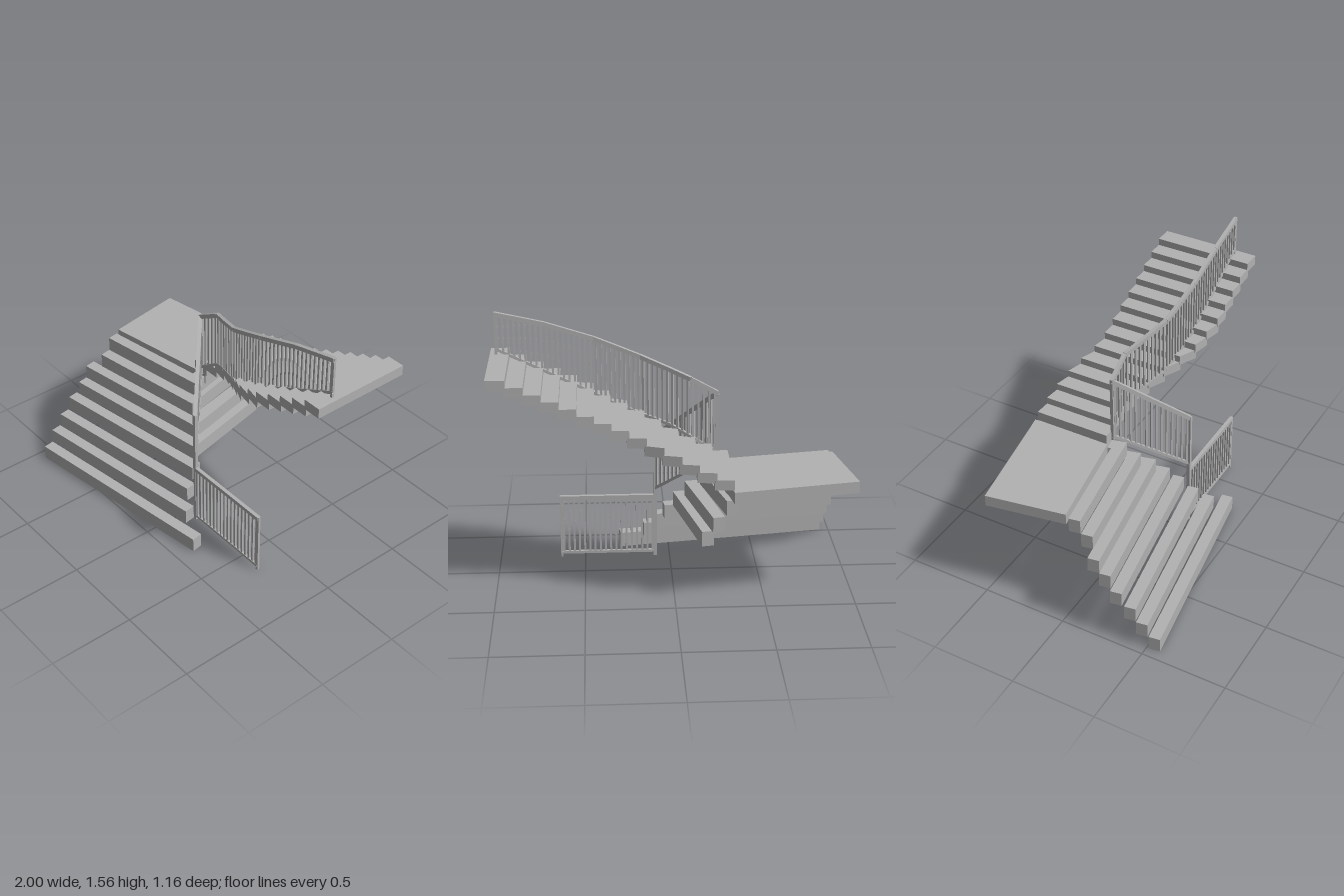
import * as THREE from 'three';

const concrete = new THREE.MeshStandardMaterial({ color: 0xb2b2b2 });
concrete.name = 'grey';

// Flat slab: outline of [x, z] points, from y0 up to y1
function slab(name, outline, y0, y1) {
  const shape = new THREE.Shape(outline.map(([x, z]) => new THREE.Vector2(x, -z)));
  const geo = new THREE.ExtrudeGeometry(shape, { depth: y1 - y0, bevelEnabled: false });
  geo.rotateX(-Math.PI / 2);
  const mesh = new THREE.Mesh(geo, concrete);
  mesh.position.y = y0;
  mesh.name = name;
  return mesh;
}

// Bar with a rectangular section between two points
function bar(name, a, b, w, h) {
  const mesh = new THREE.Mesh(new THREE.BoxGeometry(w, h, a.distanceTo(b)), concrete);
  mesh.position.copy(a).add(b).multiplyScalar(0.5);
  mesh.lookAt(b);
  mesh.name = name;
  return mesh;
}

// Upright with its faces turned along the railing
function upright(name, x, z, y0, y1, size, angle) {
  const mesh = new THREE.Mesh(new THREE.BoxGeometry(size, y1 - y0, size), concrete);
  mesh.position.set(x, (y0 + y1) / 2, z);
  mesh.rotation.y = angle;
  mesh.name = name;
  return mesh;
}

// Railing through stations [x, z, bottomY, topY]
function railing(name, stations, pitch = 0.031) {
  const group = new THREE.Group();
  group.name = name;
  for (let i = 0; i < stations.length - 1; i++) {
    const [x0, z0, b0, t0] = stations[i];
    const [x1, z1, b1, t1] = stations[i + 1];
    const v = (x, y, z) => new THREE.Vector3(x, y, z);
    group.add(bar('handrail', v(x0, t0 - 0.012, z0), v(x1, t1 - 0.012, z1), 0.022, 0.024));
    group.add(bar('bottomRail', v(x0, b0 + 0.008, z0), v(x1, b1 + 0.008, z1), 0.016, 0.016));
    const n = Math.max(1, Math.round(Math.hypot(x1 - x0, z1 - z0) / pitch));
    const angle = Math.atan2(-(z1 - z0), x1 - x0);
    for (let k = 0; k < n; k++) {
      const t = (k + 0.5) / n, mix = (p, q) => p + (q - p) * t;
      group.add(upright('baluster', mix(x0, x1), mix(z0, z1),
        mix(b0, b1) + 0.006, mix(t0, t1) - 0.012, 0.012, angle));
    }
  }
  return group;
}

export function createModel() {
  const model = new THREE.Group();
  model.name = 'staircase';

  // Lower flight: [leftX, leftZ, rightX, slope, return end x, return end z]
  const lower = new THREE.Group();
  lower.name = 'lowerFlight';
  const depth = 0.065, rise = 0.087;
  [
    [-0.938, 0.577, 0.296, 0.148],
    [-0.95, 0.507, 0.158, 0.153],
    [-0.953, 0.437, 0.087, 0.16],
    [-0.965, 0.359, 0.042, 0.162],
    [-0.955, 0.287, -0.016, 0.163, -0.146, -0.45],
    [-0.962, 0.223, -0.08, 0.165, -0.205, -0.462],
    [-0.898, 0.148, -0.166, 0.165, -0.28, -0.437],
    [-0.908, 0.08, -0.214, 0.165, -0.33, -0.49],
  ].forEach(([xl, zl, xr, s, xe, ze], i) => {
    const zr = zl - (xr - xl) * s;
    const back = ([x, z]) => [x - depth * s, z - depth];
    const outline = [[xl, zl], [xr, zr]];
    if (xe === undefined) outline.push(back([xr, zr]));
    else {
      // narrow side return running back beneath the upper flight
      const inner = xr - depth * 1.2;
      outline.push([xe, ze], [xe - depth, ze + 0.012], back([inner, zr + (xr - inner) * s]));
    }
    outline.push(back([xl, zl]));
    lower.add(slab('lowerStep', outline, i * rise, (i + 1) * rise));
  });
  model.add(lower);

  // Landing
  model.add(slab('landing', [[-1, -0.457], [-0.92, 0], [-0.23, -0.121], [-0.31, -0.58]], 0.65, 0.717));

  // Upper flight, curving into a straight run
  const upper = new THREE.Group();
  upper.name = 'upperFlight';
  const backZ = [-0.56, -0.555, -0.545, -0.523, -0.495, -0.457];
  const frontZ = [-0.11, -0.11, -0.11, -0.09, -0.05, 0, 0.05, 0.1, 0.122];
  const going = 0.0927;
  for (let i = 0; i < 14; i++) {
    const x0 = -0.31 + i * going, x1 = Math.min(x0 + 0.105, 1);
    const top = 0.78 + i * 0.0415;
    const b = (k) => backZ[k] ?? -0.443, f = (k) => frontZ[k] ?? 0.145;
    upper.add(slab('upperStep', [[x0, b(i)], [x0, f(i)], [x1, f(i + 1)], [x1, b(i + 1)]], top - 0.058, top));
  }
  model.add(upper);

  // Railings
  model.add(railing('lowerRailing', [[0.085, 0.205, 0.02, 0.39], [0.64, 0.205, 0.02, 0.39]]));
  model.add(railing('slopedRailing', [[0.085, 0.205, 0.42, 0.77], [-0.25, -0.105, 0.735, 1.13]]));
  model.add(railing('upperRailing', [
    [-0.25, -0.105, 0.76, 1.13], [-0.1, -0.108, 0.86, 1.215], [0.01, -0.06, 0.915, 1.255],
    [0.17, 0.002, 0.96, 1.312], [0.3, 0.02, 1.01, 1.362], [0.43, 0.033, 1.075, 1.412],
    [0.7, 0.03, 1.21, 1.5], [0.97, 0.024, 1.345, 1.562],
  ], 0.029));

  // Posts
  model.add(upright('cornerPost', 0.085, 0.205, 0, 0.765, 0.02, 0));
  model.add(upright('endPost', 0.638, 0.205, 0, 0.39, 0.014, 0));
  model.add(upright('turnPost', -0.248, -0.105, 0.717, 1.125, 0.018, 0));
  model.add(upright('topPost', 0.965, 0.024, 1.3, 1.56, 0.014, 0));
  return model;
}
